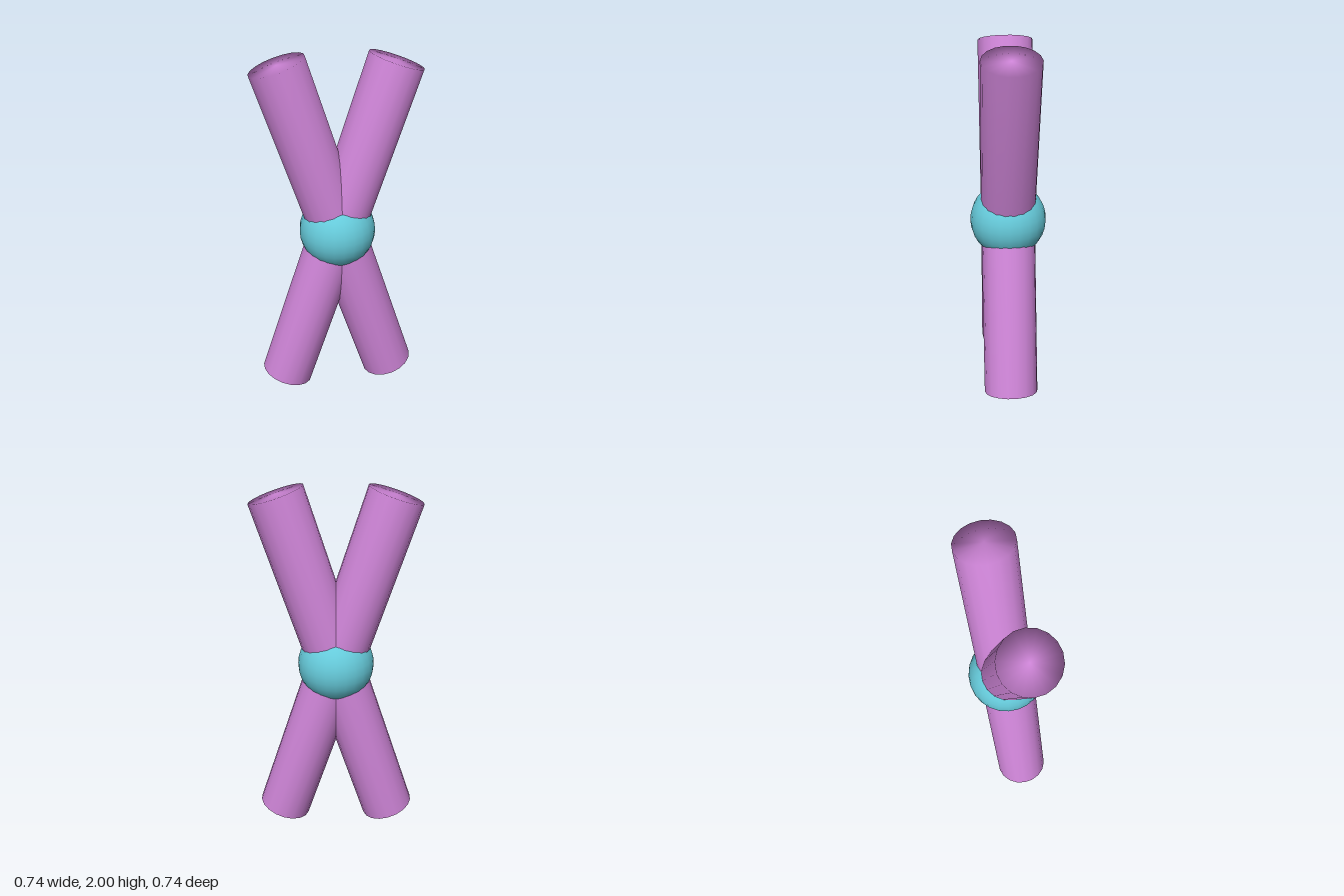
import * as THREE from 'three';
import { mergeVertices } from 'three/addons/utils/BufferGeometryUtils.js';

const ROD_RADIUS = 0.153;
const ROD_LENGTH = 2.006;
const ROD_TILT = 0.318;
const HUB_RADIUS = 0.215;

// Capped cylinder whose shading runs smoothly over the rim
function softRodGeometry() {
  const rod = new THREE.CylinderGeometry(ROD_RADIUS, ROD_RADIUS, ROD_LENGTH, 18);
  rod.deleteAttribute('normal');
  rod.deleteAttribute('uv');
  const merged = mergeVertices(rod);
  merged.computeVertexNormals();
  return merged;
}

export function createModel() {
  const orchid = new THREE.MeshStandardMaterial({ color: 0xcf85d8 });
  orchid.name = 'orchid';
  const turquoise = new THREE.MeshStandardMaterial({ color: 0x66cbdb });
  turquoise.name = 'turquoise';

  const model = new THREE.Group();
  model.name = 'crossedRods';

  // Two full-length rods crossing through the centre
  const rodGeometry = softRodGeometry();
  for (const side of [-1, 1]) {
    const rod = new THREE.Mesh(rodGeometry, orchid);
    rod.name = side < 0 ? 'rightLeaningRod' : 'leftLeaningRod';
    rod.position.y = 1;
    rod.rotation.z = side * ROD_TILT;
    model.add(rod);
  }

  // Ball at the crossing
  const hub = new THREE.Mesh(new THREE.SphereGeometry(HUB_RADIUS, 24, 16), turquoise);
  hub.name = 'centreBall';
  hub.position.y = 1;
  model.add(hub);

  // The cross stands on the diagonal
  model.rotation.y = Math.PI / 4;
  const root = new THREE.Group();
  root.name = 'model';
  root.add(model);
  return root;
}
